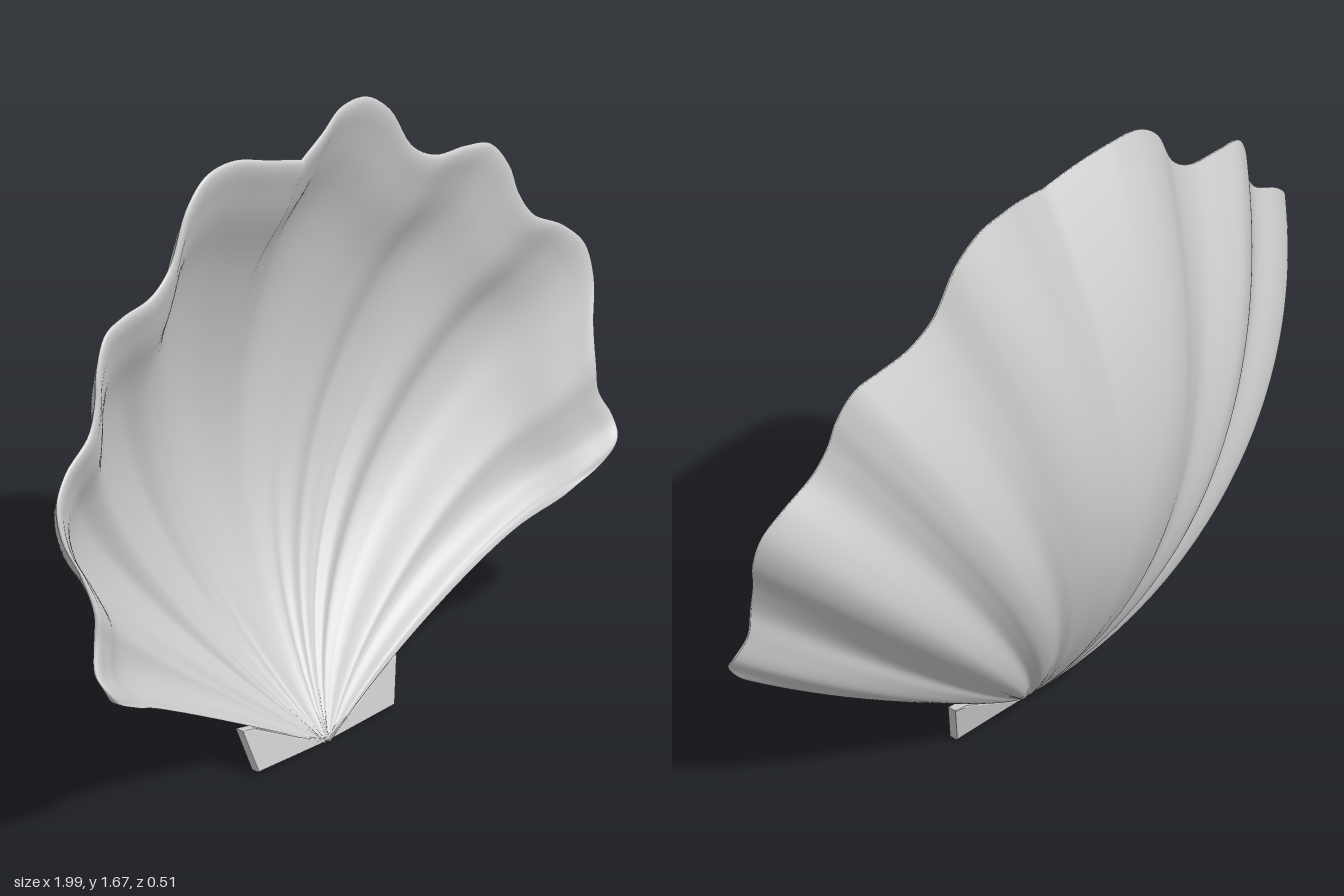
import * as THREE from 'three';

// Half of the scalloped rim, from the top centre round to the side edge:
// x, y, z of the rim and how deep the shell bulges back along that ray
const RIM = [
  [0, 1.615, 0.04, 0.318], [0.1, 1.645, 0.02, 0.315], [0.2, 1.672, -0.007, 0.306],
  [0.3, 1.663, -0.012, 0.299], [0.38, 1.6, -0.006, 0.29], [0.45, 1.475, 0.005, 0.274],
  [0.53, 1.42, 0.013, 0.258], [0.64, 1.405, 0.016, 0.265], [0.72, 1.385, 0.027, 0.27],
  [0.77, 1.31, 0.045, 0.262], [0.79, 1.23, 0.058, 0.242], [0.83, 1.16, 0.072, 0.224],
  [0.93, 1.095, 0.085, 0.234], [0.985, 1.03, 0.105, 0.236], [0.99, 0.94, 0.13, 0.216],
  [0.955, 0.84, 0.16, 0.175], [0.935, 0.74, 0.187, 0.138], [0.94, 0.66, 0.192, 0.127],
  [0.965, 0.59, 0.217, 0.118], [0.955, 0.545, 0.242, 0.103], [0.92, 0.5, 0.233, 0.077],
  [0.85, 0.458, 0.205, 0.046],
];
const APEX_Z = 0.11;

// Quarter-round falloff from 1 to 0 between start and 1
const roundOff = (v, start) => {
  const k = Math.max(0, (v - start) / (1 - start));
  return Math.sqrt(Math.max(0, 1 - k * k));
};

// Closed fan surface: each column runs up the back, over the rim and down the front
function shellGeometry() {
  const rim = new THREE.CatmullRomCurve3(RIM.map(([x, y, z]) => new THREE.Vector3(x, y, z)));
  const bulge = new THREE.CatmullRomCurve3(
    RIM.map((p, i) => new THREE.Vector3(p[3], i * 0.1, 0)), false, 'catmullrom');
  const depthAt = (u) => bulge.getPoint(Math.min(1, Math.abs(u))).x;

  const half = 110, rows = 36;
  const levels = [];
  for (let j = 0; j <= rows; j++) levels.push(0.008 + 0.992 * Math.sin((j / rows) * Math.PI / 2));
  const loop = [
    ...levels.map((s) => [s, 0]),
    ...levels.slice(0, -1).reverse().map((s) => [s, 1]),
  ];

  const pos = [], index = [];
  for (let k = -half; k <= half; k++) {
    const u = Math.abs(k) / half;
    const p = rim.getPoint(u);
    const depth = depthAt(u);
    // the inside follows the ribs more softly than the outside
    const soft = (depthAt(u - 0.08) + depth + depthAt(u + 0.08)) / 3;
    const fill = Math.max(0, depth - soft);
    for (const [s, front] of loop) {
      // fullest near the hinge in the middle ribs, nearer the rim in the outer ones
      const arch = 4 * s * (1 - s) * (1.25 - 0.45 * s + u * u * (1.2 * s * s - 0.2));
      const back = APEX_Z * (1 - s) + p.z * s - depth * arch;
      // wall thickness, swelling into a soft lip near the rim
      const lip = Math.exp(-(((s - 0.89) / 0.07) ** 2));
      const wall = (0.024 + 0.016 * lip) * roundOff(s, 0.96) * roundOff(u, 0.98);
      pos.push(Math.sign(k) * p.x * s, p.y * s, back + front * (wall + fill * arch));
    }
  }
  const n = loop.length;
  for (let i = 0; i < 2 * half; i++) {
    for (let j = 0; j < n - 1; j++) {
      const a = i * n + j, b = a + n;
      index.push(a, a + 1, b, b, a + 1, b + 1);
    }
  }
  const g = new THREE.BufferGeometry();
  g.setAttribute('position', new THREE.Float32BufferAttribute(pos, 3));
  g.setIndex(index);
  g.computeVertexNormals();
  return g;
}

// Small flat wing beside the hinge, leaning slightly forward at its foot
function earGeometry(side) {
  const pts = [[0, 0.008], [0.25, 0.018], [0.283, 0.13], [0.245, 0.122], [0.1, 0.048]];
  const shape = new THREE.Shape(pts.map(([x, y]) => new THREE.Vector2(side * x, y)));
  const g = new THREE.ExtrudeGeometry(shape, {
    depth: 0.016, bevelEnabled: true, bevelThickness: 0.006, bevelSize: 0.005, bevelSegments: 2,
  });
  const p = g.attributes.position;
  for (let i = 0; i < p.count; i++) p.setZ(i, p.getZ(i) + 0.11 - 0.2 * p.getY(i));
  g.computeVertexNormals();
  return g;
}

export function createModel() {
  const group = new THREE.Group();
  group.name = 'scallopShell';
  const material = new THREE.MeshStandardMaterial({ color: 0xcccccc, side: THREE.DoubleSide });
  const add = (geometry, name) => {
    const mesh = new THREE.Mesh(geometry, material);
    mesh.name = name;
    group.add(mesh);
  };

  add(shellGeometry(), 'ribbedShell');
  add(earGeometry(1), 'leftHingeEar');
  add(earGeometry(-1), 'rightHingeEar');
  return group;
}
